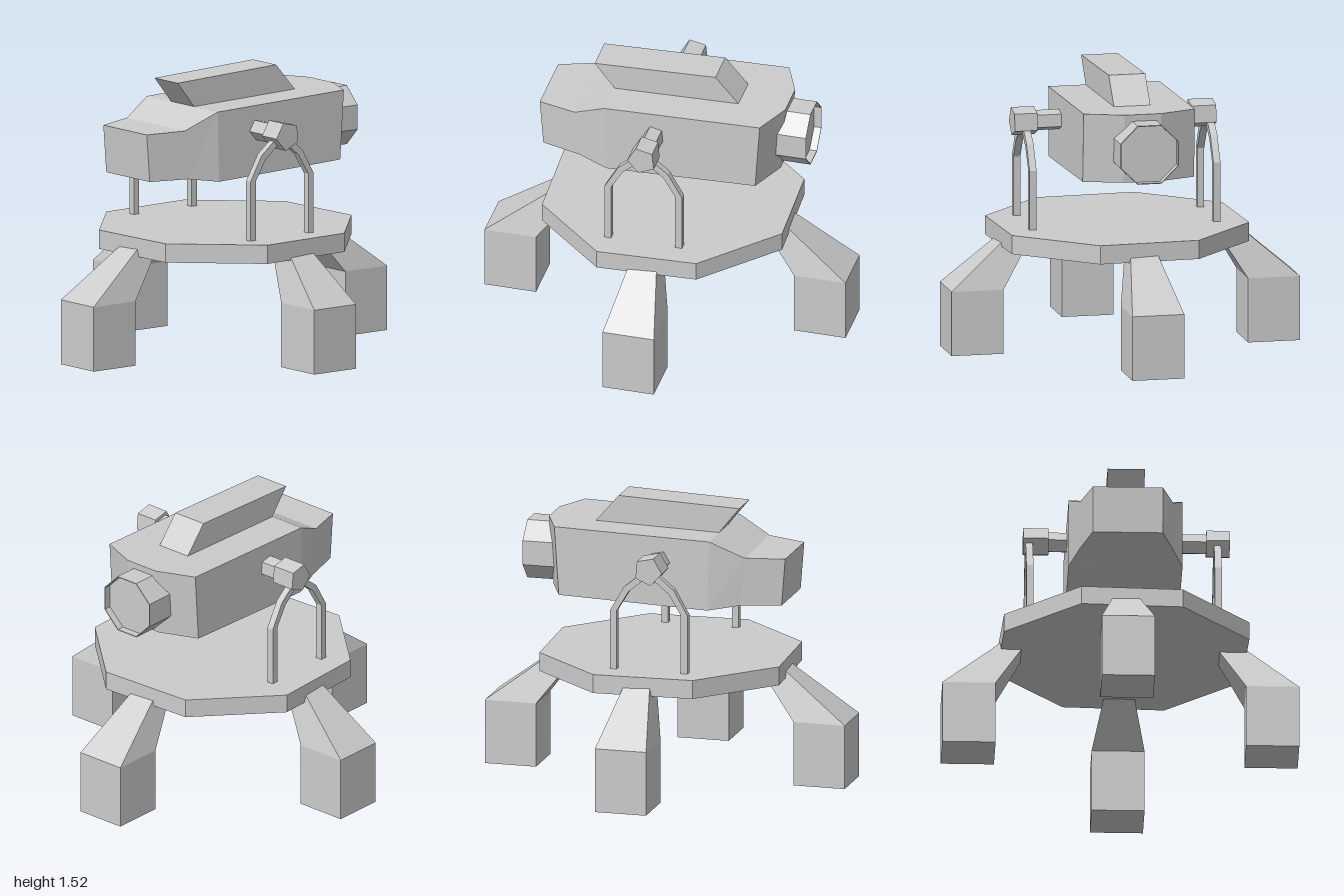
import * as THREE from 'three';

const material = new THREE.MeshStandardMaterial({ color: 0xcccccc, flatShading: true, side: THREE.DoubleSide });

function part(name, geometry, parent) {
  const mesh = new THREE.Mesh(geometry, material);
  mesh.name = name;
  parent.add(mesh);
  return mesh;
}

// Skin a row of four-cornered rings and cap both ends
function loft(rings) {
  const pos = [];
  const quad = (a, b, c, d) => pos.push(...a, ...b, ...c, ...a, ...c, ...d);
  for (let i = 0; i < rings.length - 1; i++) {
    for (let j = 0; j < 4; j++) {
      const k = (j + 1) % 4;
      quad(rings[i][j], rings[i + 1][j], rings[i + 1][k], rings[i][k]);
    }
  }
  quad(...rings[0]);
  quad(...rings[rings.length - 1].slice().reverse());
  const g = new THREE.BufferGeometry();
  g.setAttribute('position', new THREE.Float32BufferAttribute(pos, 3));
  g.computeVertexNormals();
  return g;
}

// Extrude a side outline of [z, y] points across x, centred on x = 0
function sideExtrude(points, width) {
  const shape = new THREE.Shape(points.map(([z, y]) => new THREE.Vector2(-z, y)));
  const g = new THREE.ExtrudeGeometry(shape, { depth: width, bevelEnabled: false });
  return g.translate(0, 0, -width / 2).rotateY(Math.PI / 2);
}

// Five-sided bar along x, from x0 to x1
function pivotBar(radius, x0, x1) {
  const g = new THREE.CylinderGeometry(radius, radius, x1 - x0, 5, 1, false, 1.165);
  return g.rotateZ(Math.PI / 2).translate((x0 + x1) / 2, 1.23, 0.015);
}

export function createModel() {
  const model = new THREE.Group();
  model.name = 'turret';

  // Octagonal platform
  const plate = new THREE.CylinderGeometry(0.712, 0.712, 0.102, 8, 1, false, THREE.MathUtils.degToRad(70.1));
  part('platform', plate, model).position.set(0.0145, 0.626, -0.007);

  // Four legs: square foot blocks with a tapering upper part leaning inwards
  const legRing = (half, y, outer, inner) => [
    [half, y, outer], [-half, y, outer], [-half, y, inner], [half, y, inner],
  ];
  const legs = [
    ['frontLeg', 0, 1], ['leftLeg', 1, 0.955], ['backLeg', 2, 1], ['rightLeg', 3, 0.955],
  ];
  for (const [name, turn, reach] of legs) {
    const leg = part(name, loft([
      legRing(0.142, 0, reach, reach - 0.285),
      legRing(0.142, 0.35, reach, reach - 0.285),
      legRing(0.067, 0.64, 0.615, 0.49),
    ]), model);
    leg.rotation.y = turn * Math.PI / 2;
    if (turn % 2) leg.position.z = -0.0125;
    else leg.position.x = 0.0125;
  }

  // Main housing, front to back: [z top, z bottom, half width, y top, y bottom]
  const sections = [
    [0.68, 0.66, 0.1875, 1.258, 1.0],
    [0.47, 0.445, 0.25, 1.265, 1.0],
    [0.29, 0.28, 0.305, 1.355, 0.975],
    [-0.57, -0.545, 0.305, 1.378, 1.003],
    [-0.657, -0.632, 0.1, 1.38, 1.006],
  ];
  const housing = part('housing', loft(sections.map(([zt, zb, w, yt, yb]) => [
    [w, yt, zt], [-w, yt, zt], [-w, yb, zb], [w, yb, zb],
  ])), model);
  housing.position.x = 0.02;

  // Slanted block on the roof
  const roof = [[0.4, 1.495], [-0.27, 1.52], [-0.4, 1.37], [0.28, 1.345]];
  part('roofBlock', sideExtrude(roof, 0.2), model).position.x = 0.02;

  // Eight-sided rear nozzle with a shallow recess
  const profile = [[0, 0], [0.173, 0], [0.173, 0.185], [0.168, 0.185], [0.168, 0.145], [0, 0.145]]
    .map(([r, h]) => new THREE.Vector2(r, h));
  const nozzle = part('rearNozzle', new THREE.LatheGeometry(profile, 8, Math.PI / 8), model);
  nozzle.rotation.x = -Math.PI / 2;
  nozzle.position.set(0.012, 1.184, -0.6);

  // Arched supports and pivots on both sides
  const outer = [[0.215, 0.63], [0.215, 1.0], [0.138, 1.135], [0.04, 1.215]];
  const inner = [[0.178, 0.63], [0.178, 1.0], [0.112, 1.11], [0.02, 1.185]];
  const mirror = (pts) => pts.map(([z, y]) => [-z, y]);
  const arch = [
    ...outer, ...mirror(outer).reverse(), ...mirror(inner), ...inner.slice().reverse(),
  ].map(([z, y]) => [z + 0.018, y]);
  const sides = [
    ['left', 0.518, [0.2, 0.47], [0.46, 0.585]],
    ['right', -0.49, [-0.4, -0.2], [-0.52, -0.385]],
  ];
  for (const [name, x, axle, hub] of sides) {
    part(name + 'Arch', sideExtrude(arch, 0.038), model).position.x = x;
    part(name + 'Axle', pivotBar(0.057, ...axle), model);
    part(name + 'Hub', pivotBar(0.079, ...hub), model);
  }

  return model;
}
